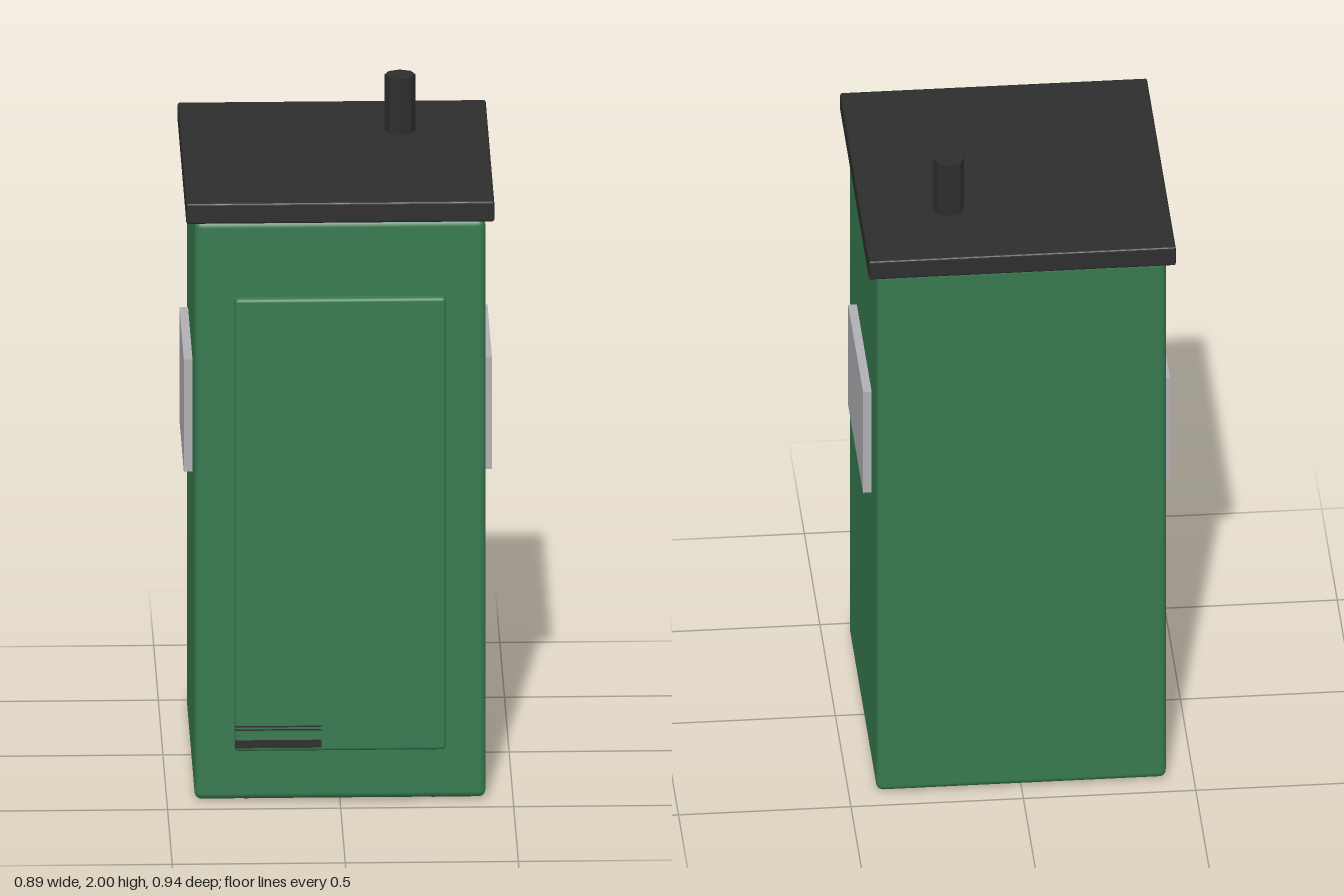
import * as THREE from 'three';
import { RoundedBoxGeometry } from 'three/addons/geometries/RoundedBoxGeometry.js';

export function createModel() {
  const group = new THREE.Group();
  const material = (name, color, flatShading = false) => {
    const m = new THREE.MeshStandardMaterial({ color, flatShading });
    m.name = name;
    return m;
  };
  const green = material('green paint', 0x37794f);
  const dark = material('dark metal', 0x2d2d2d, true);
  const grey = material('light grey panel', 0xb0afb3);

  const add = (name, geometry, mat, x, y, z) => {
    const mesh = new THREE.Mesh(geometry, mat);
    mesh.name = name;
    mesh.position.set(x, y, z);
    group.add(mesh);
    return mesh;
  };

  // Cabinet, overhanging roof and front door
  add('body', new RoundedBoxGeometry(0.84, 1.76, 0.878, 3, 0.02), green, 0, 0.887, 0);
  add('roof', new RoundedBoxGeometry(0.89, 0.062, 0.932, 2, 0.006), dark, 0, 1.799, -0.004);
  add('door', new RoundedBoxGeometry(0.61, 1.376, 0.034, 2, 0.01), green, 0, 0.852, 0.453);

  // Octagonal vent pipe
  add('ventPipe', new THREE.CylinderGeometry(0.045, 0.045, 0.19, 8), dark, 0.19, 1.905, -0.196);

  // Thin slats at the lower corner of the door
  add('lowerSlat', new THREE.BoxGeometry(0.25, 0.024, 0.004), dark, -0.18, 0.187, 0.469);
  for (const y of [0.23, 0.24]) {
    add('upperSlat', new THREE.BoxGeometry(0.25, 0.004, 0.004), dark, -0.18, y, 0.469);
  }

  // Side panels and feet, mirrored
  for (const s of [-1, 1]) {
    add(s > 0 ? 'leftPanel' : 'rightPanel', new THREE.BoxGeometry(0.026, 0.342, 0.48), grey, s * 0.432, 1.099, -0.04);
    for (const z of [-0.34, 0.34]) {
      add('foot', new THREE.CylinderGeometry(0.065, 0.065, 0.02, 8), dark, s * 0.27, 0.01, z);
    }
  }
  return group;
}
